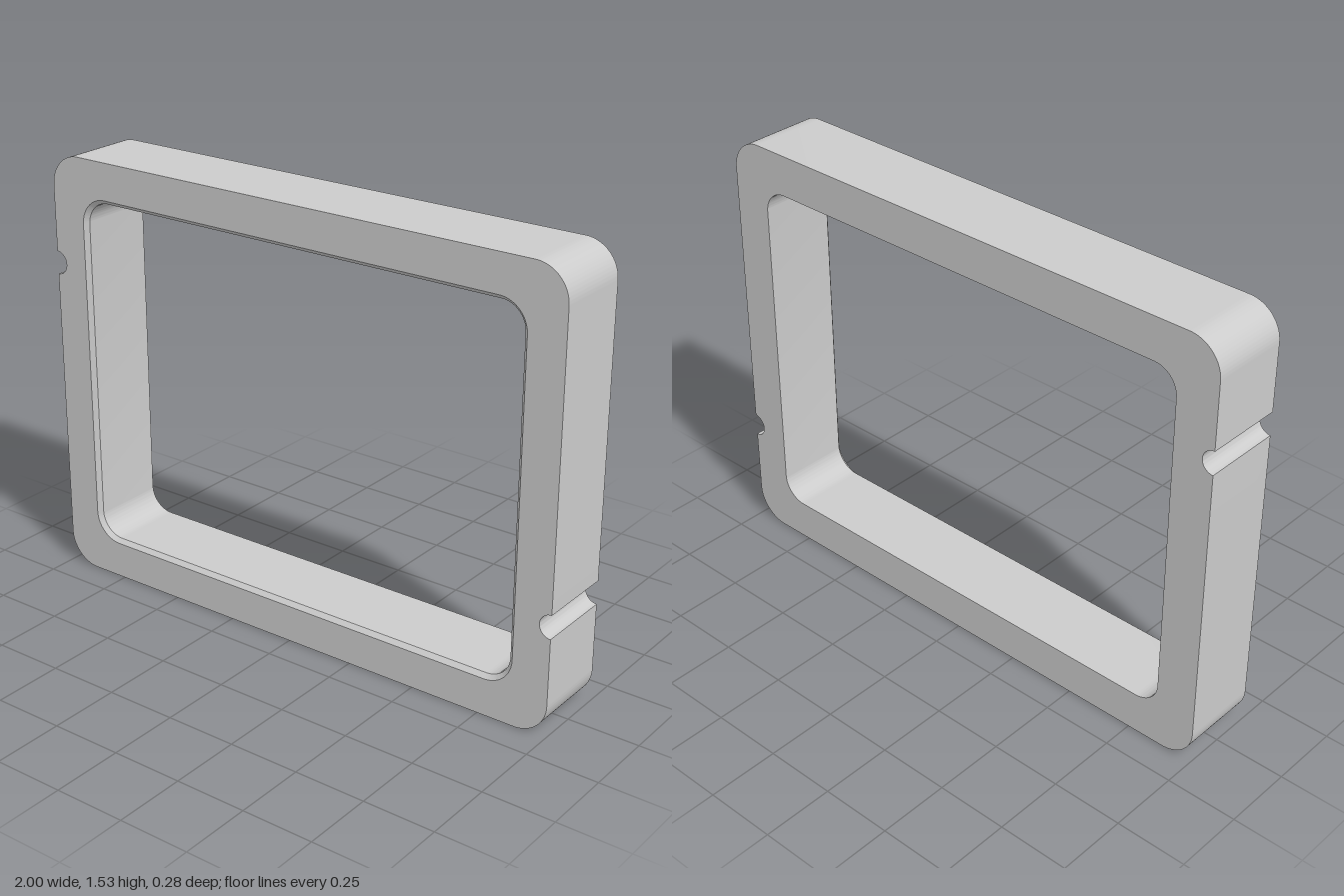
import * as THREE from 'three';
import { toCreasedNormals } from 'three/addons/utils/BufferGeometryUtils.js';

const WIDTH = 2, HEIGHT = 1.53, DEPTH = 0.28;
const OUTER_RADIUS = 0.115;
const INNER_X = 0.855, INNER_Y = 0.62, INNER_RADIUS = 0.085; // half sizes of the opening
const CHAMFER = 0.015;
const NOTCH_Y = 0.375, NOTCH_RADIUS = 0.041; // notch height measured from the centre

// Four corner arcs of a rounded rectangle, anticlockwise, with an optional notch in each side
function roundedRect(path, hx, hy, r, notched) {
  const q = Math.PI / 2;
  path.moveTo(hx, -hy + r);
  if (notched) path.absarc(hx, -NOTCH_Y, NOTCH_RADIUS, -q, q, true);
  path.absarc(hx - r, hy - r, r, 0, q, false);
  path.absarc(-hx + r, hy - r, r, q, 2 * q, false);
  if (notched) path.absarc(-hx, NOTCH_Y, NOTCH_RADIUS, q, -q, true);
  path.absarc(-hx + r, -hy + r, r, 2 * q, 3 * q, false);
  path.absarc(hx - r, -hy + r, r, 3 * q, 4 * q, false);
  return path;
}

// Widens the opening at the front face to form a narrow chamfer
function chamferOpening(geometry) {
  const p = geometry.attributes.position;
  const coreX = INNER_X - INNER_RADIUS, coreY = INNER_Y - INNER_RADIUS;
  const dir = new THREE.Vector2();
  for (let i = 0; i < p.count; i++) {
    const x = p.getX(i), y = p.getY(i), z = p.getZ(i);
    if (Math.abs(z - DEPTH / 2) < 1e-4) {
      // Middle layer marks where the chamfer starts
      p.setZ(i, DEPTH - CHAMFER);
    } else if (z > DEPTH / 2 && Math.abs(x) < INNER_X + 0.005 && Math.abs(y) < INNER_Y + 0.005) {
      dir.set(x - THREE.MathUtils.clamp(x, -coreX, coreX), y - THREE.MathUtils.clamp(y, -coreY, coreY));
      dir.setLength(CHAMFER);
      p.setXY(i, x + dir.x, y + dir.y);
    }
  }
}

export function createModel() {
  const group = new THREE.Group();
  group.name = 'rectangularFrame';

  // Frame ring with side notches and chamfered opening
  const outline = roundedRect(new THREE.Shape(), WIDTH / 2, HEIGHT / 2, OUTER_RADIUS, true);
  outline.holes.push(roundedRect(new THREE.Path(), INNER_X, INNER_Y, INNER_RADIUS, false));
  const geometry = new THREE.ExtrudeGeometry(outline, {
    depth: DEPTH, steps: 2, bevelEnabled: false, curveSegments: 16,
  });
  chamferOpening(geometry);
  geometry.translate(0, HEIGHT / 2, -DEPTH / 2);

  const frame = new THREE.Mesh(
    toCreasedNormals(geometry, 0.5),
    new THREE.MeshStandardMaterial({ color: 0xcccccc }),
  );
  frame.name = 'frame';
  group.add(frame);
  return group;
}
